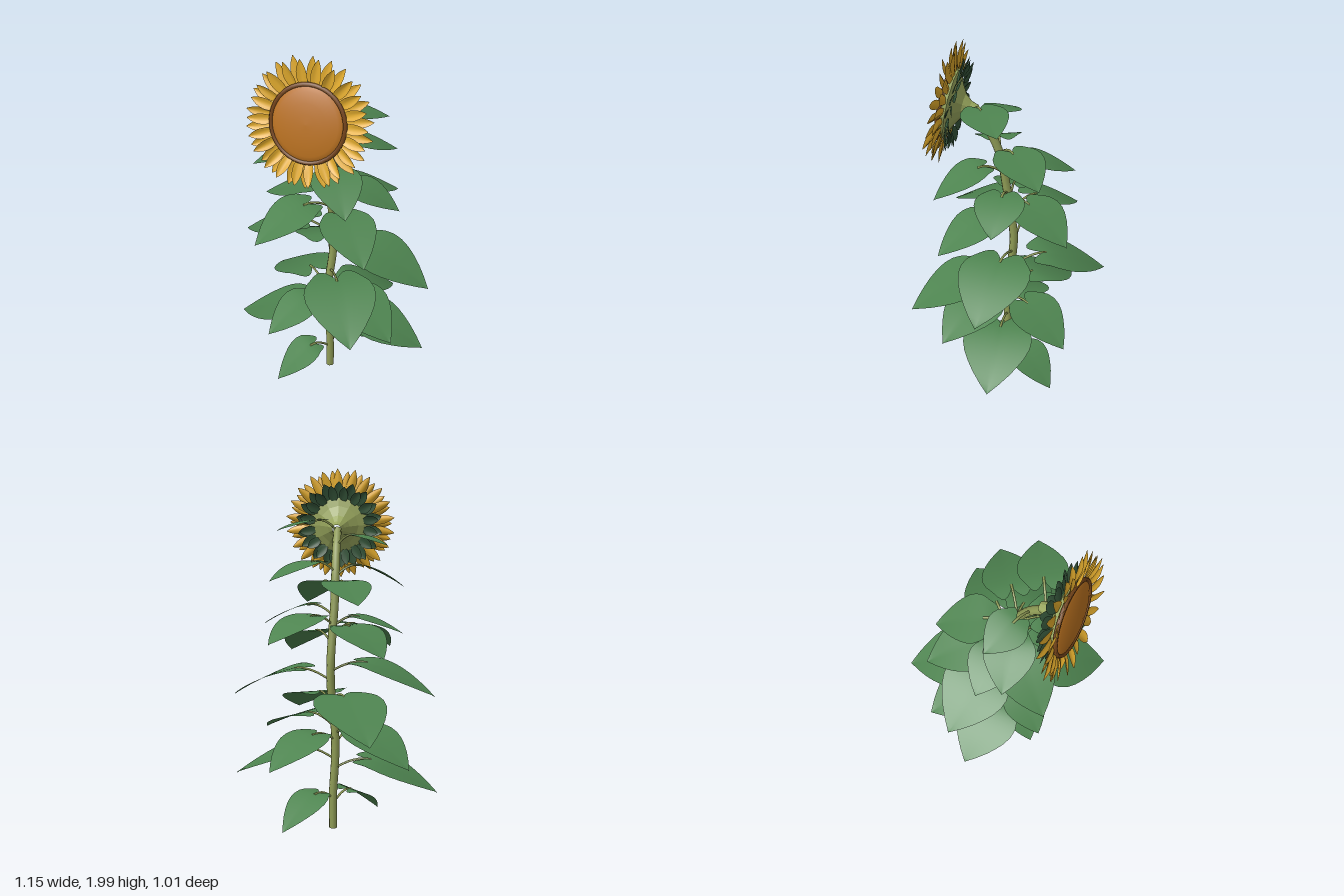
import * as THREE from 'three';

const mat = (name, color, open) => {
  const m = new THREE.MeshStandardMaterial({ color });
  m.name = name;
  if (open) m.side = THREE.DoubleSide;
  return m;
};

// Grid surface: fn(u 0..1, v -1..1) returns [x, y, z]
function sheet(nu, nv, fn) {
  const pos = [], idx = [];
  for (let i = 0; i <= nu; i++)
    for (let j = 0; j <= nv; j++) pos.push(...fn(i / nu, (j / nv) * 2 - 1));
  for (let i = 0; i < nu; i++)
    for (let j = 0; j < nv; j++) {
      const a = i * (nv + 1) + j, b = a + nv + 1;
      idx.push(a, b, a + 1, a + 1, b, b + 1);
    }
  const g = new THREE.BufferGeometry();
  g.setAttribute('position', new THREE.Float32BufferAttribute(pos, 3));
  g.setIndex(idx);
  g.computeVertexNormals();
  return g;
}

// Linear lookup in an evenly spaced profile
function profile(list, t) {
  const f = Math.min(t, 0.9999) * (list.length - 1), i = Math.floor(f);
  return list[i] + (list[i + 1] - list[i]) * (f - i);
}

let seed = 7;
const rnd = () => (seed = (seed * 16807) % 2147483647) / 2147483647;

export function createModel() {
  const root = new THREE.Group();
  root.name = 'sunflower';

  const stemMat = mat('stem green', 0x8f9c56);
  const cupMat = mat('pale green', 0x9aa85e);
  const leafMat = mat('leaf green', 0x4e8450, true);
  const sepalMat = mat('dark green', 0x35553a, true);
  const petalMat = mat('petal yellow', 0xe0aa2c, true);
  const seedMat = mat('seed brown', 0xb8701f);
  const rimMat = mat('rim brown', 0x74441a);

  const add = (parent, name, geo, material) => {
    const m = new THREE.Mesh(geo, material);
    m.name = name;
    parent.add(m);
    return m;
  };

  // Stem, bending forward under the head
  const stemCurve = new THREE.CatmullRomCurve3([
    [0, 0, 0.016], [0, 0.2, 0.018], [-0.012, 0.42, 0.02], [-0.008, 0.62, 0.015],
    [0.008, 0.8, -0.008], [0.008, 0.95, -0.018], [0.002, 1.1, 0.002],
    [-0.006, 1.25, 0.025], [-0.008, 1.42, 0.055], [-0.004, 1.56, 0.115], [0, 1.66, 0.2]
  ].map(p => new THREE.Vector3(...p)));
  add(root, 'stem', new THREE.TubeGeometry(stemCurve, 40, 0.023, 8), stemMat);
  const base = add(root, 'stemBase', new THREE.CircleGeometry(0.023, 8), stemMat);
  base.rotation.x = Math.PI / 2;
  base.position.set(0, 0.001, 0.016);

  const stemPoints = stemCurve.getPoints(300);
  const stemAt = y => stemPoints.reduce((a, b) => (Math.abs(b.y - y) < Math.abs(a.y - y) ? b : a));

  // Heart-shaped leaves: tip x, y, z and the height where the blade starts
  const widths = [0.72, 0.92, 1, 0.98, 0.88, 0.72, 0.52, 0.28, 0];
  function leaf(x, y, z, peak) {
    const node = stemAt(peak - 0.06);
    const dx = x - node.x, dz = z - node.z, reach = Math.hypot(dx, dz);
    const g = new THREE.Group();
    g.name = 'leaf';
    g.position.copy(node);
    g.rotation.y = Math.atan2(dx, dz);
    const len = reach * 0.67, half = reach * 0.335, start = reach - len;
    const top = peak - node.y, drop = peak - y;
    const stalk = new THREE.CatmullRomCurve3([
      new THREE.Vector3(0, 0, 0), new THREE.Vector3(0, top * 0.7, start * 0.45),
      new THREE.Vector3(0, top, start * 0.85), new THREE.Vector3(0, top - 0.004, start + 0.02)
    ]);
    add(g, 'leafStalk', new THREE.TubeGeometry(stalk, 8, 0.0065, 5), stemMat);
    const blade = sheet(16, 12, (u, v) => {
      const a = Math.abs(v);
      const along = u * len - 0.2 * len * Math.sin(Math.PI * Math.min(1, a * 0.95)) * (1 - u) ** 2;
      const s = along / len;
      const fall = s > 0 ? drop * s ** 1.45 : 0.35 * drop * s * s;
      return [v * half * profile(widths, u), top - fall + 0.02 * half * a, start + along];
    });
    add(g, 'leafBlade', blade, leafMat);
    root.add(g);
  }
  [
    [-0.23, 0.03, 0.28, 0.2], [0.23, 0.07, -0.27, 0.23],
    [-0.575, 0.24, -0.01, 0.41], [0.555, 0.29, 0.03, 0.46],
    [-0.25, 0.4, 0.33, 0.55], [0.28, 0.42, -0.34, 0.57],
    [0.435, 0.5, 0.29, 0.64], [-0.43, 0.45, -0.3, 0.61],
    [0.28, 0.58, 0.5, 0.75], [-0.25, 0.62, -0.51, 0.8],
    [-0.55, 0.79, -0.09, 0.96], [0.57, 0.74, 0.08, 0.91],
    [0.29, 0.96, 0.33, 1.11], [-0.3, 1.02, -0.33, 1.16],
    [-0.29, 0.99, 0.35, 1.15], [0.28, 1.08, -0.33, 1.21],
    [-0.375, 1.11, 0.0, 1.2], [0.38, 1.15, 0.03, 1.26],
    [0.2, 1.24, 0.36, 1.38], [-0.17, 1.28, -0.32, 1.39],
    [-0.37, 1.35, 0.15, 1.47], [0.3, 1.39, -0.19, 1.49],
    [-0.29, 1.57, 0.02, 1.63], [0.3, 1.65, 0.01, 1.71]
  ].forEach(l => leaf(...l));

  // Flower head, facing forward and slightly up
  const head = new THREE.Group();
  head.name = 'flowerHead';
  head.position.set(0, 1.69, 0.31);
  head.rotation.x = -0.2;
  root.add(head);

  // Flared cup behind the head
  const cupGeo = new THREE.LatheGeometry([
    [0.024, -0.15], [0.036, -0.11], [0.062, -0.075], [0.11, -0.045], [0.175, -0.02], [0.18, 0]
  ].map(p => new THREE.Vector2(...p)), 12).toNonIndexed();
  cupGeo.computeVertexNormals();
  add(head, 'flowerCup', cupGeo, cupMat).rotation.x = Math.PI / 2;

  // Domed seed disc with a dark rim
  const dome = new THREE.LatheGeometry([
    [0.18, 0], [0.177, 0.012], [0.15, 0.021], [0.1, 0.028], [0.05, 0.032], [0, 0.033]
  ].map(p => new THREE.Vector2(...p)), 40);
  add(head, 'seedDisc', dome, seedMat).rotation.x = Math.PI / 2;
  add(head, 'discRim', new THREE.TorusGeometry(0.18, 0.011, 6, 40), rimMat).position.z = 0.01;

  // Pointed blade, folded along its middle, growing along +y from the origin
  const pointed = (len, half, fold, curl) => sheet(7, 4, (u, v) => [
    v * half * profile([0.55, 0.85, 1, 1, 0.85, 0.55, 0.05], u),
    u * len,
    fold * Math.abs(v) * Math.sin(Math.PI * u) + curl * u * u
  ]);

  // Ring of blades around the head
  function ring(name, geo, material, count, radius, z, tilt, offset, wobble) {
    for (let i = 0; i < count; i++) {
      const arm = new THREE.Group();
      arm.name = name + 'Arm';
      arm.rotation.z = ((i + offset) / count) * Math.PI * 2 + (rnd() - 0.5) * 0.06;
      const m = add(arm, name, geo, material);
      m.position.set(0, radius, z);
      m.rotation.set(tilt + (rnd() - 0.5) * wobble, (rnd() - 0.5) * 0.5, 0);
      m.scale.y = 0.95 + rnd() * 0.07;
      head.add(arm);
    }
  }
  ring('outerPetal', pointed(0.142, 0.026, 0.012, 0.012), petalMat, 22, 0.17, -0.012, -0.02, 0, 0.2);
  ring('innerPetal', pointed(0.128, 0.025, 0.012, 0.014), petalMat, 22, 0.17, 0.004, 0.12, 0.5, 0.24);
  ring('outerSepal', pointed(0.095, 0.03, -0.008, -0.012), sepalMat, 18, 0.15, -0.03, -0.02, 0, 0.2);
  ring('innerSepal', pointed(0.085, 0.027, -0.008, -0.016), sepalMat, 16, 0.14, -0.038, -0.08, 0.5, 0.2);

  return root;
}
